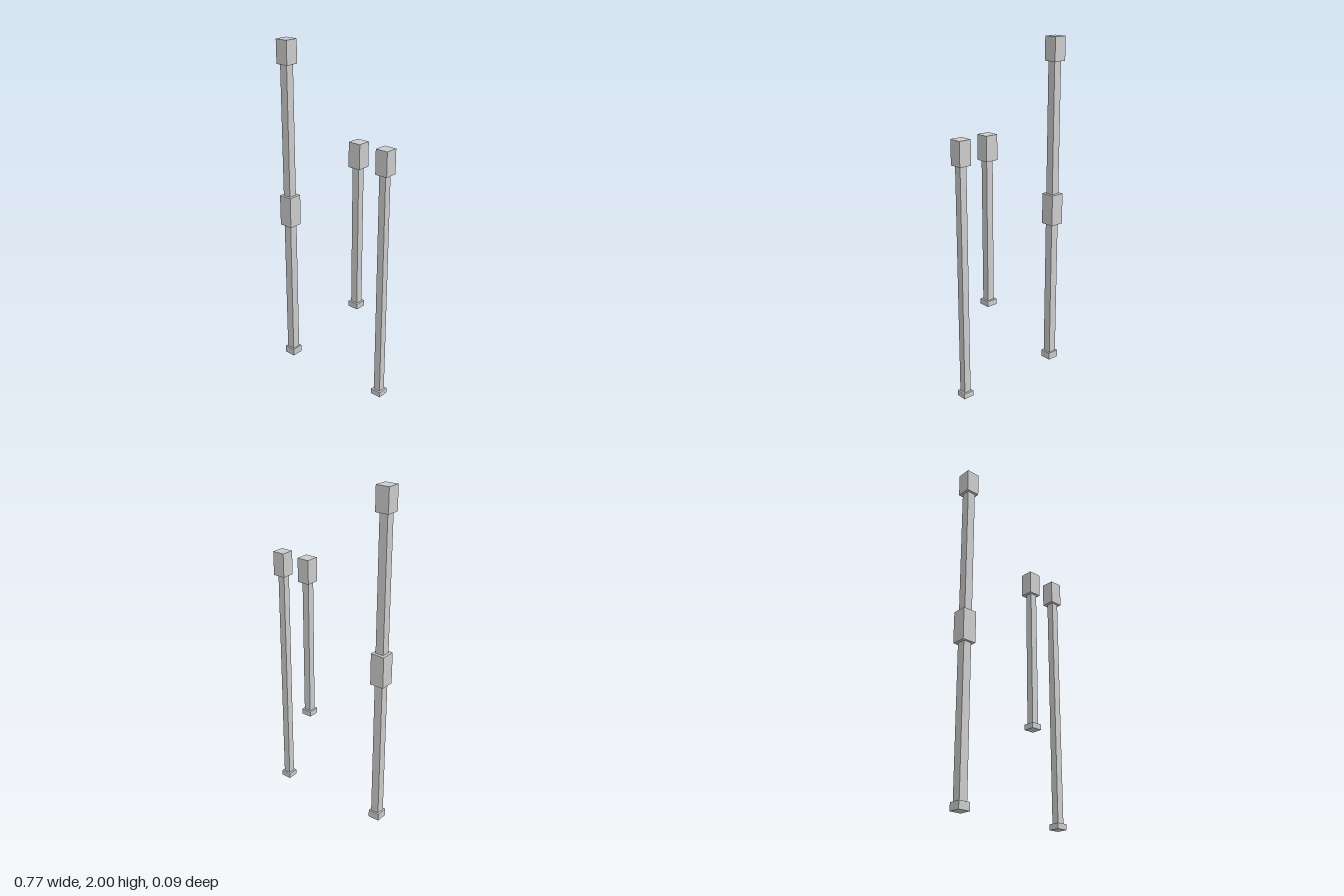
import * as THREE from 'three';

const material = new THREE.MeshStandardMaterial({ color: 0xcccccc, flatShading: true });

// Square block centred on (x, z), spanning y0 to y1
function addBlock(post, name, width, y0, y1, z) {
  const mesh = new THREE.Mesh(new THREE.BoxGeometry(width, y1 - y0, width), material);
  mesh.name = name;
  mesh.position.set(0, (y0 + y1) / 2, z);
  post.add(mesh);
}

function makePost(name, x, blocks) {
  const post = new THREE.Group();
  post.name = name;
  post.position.x = x;
  for (const block of blocks) addBlock(post, ...block);
  return post;
}

// Slim post with a foot, shaft and cap
function slimPost(name, x, bottom) {
  return makePost(name, x, [
    ['foot', 0.064, bottom, bottom + 0.032, -0.006],
    ['shaft', 0.042, bottom + 0.032, 1.38, -0.006],
    ['cap', 0.075, 1.38, 1.52, -0.009],
  ]);
}

export function createModel() {
  const model = new THREE.Group();
  model.name = 'posts';

  // Tall post: two shafts joined by a middle block
  model.add(makePost('tallPost', -0.344, [
    ['foot', 0.07, 0, 0.045, 0.003],
    ['lowerShaft', 0.05, 0.045, 0.9, 0.003],
    ['middleBlock', 0.084, 0.9, 1.087, 0.001],
    ['upperShaft', 0.05, 1.087, 1.863, 0.003],
    ['cap', 0.08, 1.863, 2, 0.001],
  ]));

  // Pair of slim posts with level caps
  model.add(slimPost('shortPost', 0.166, 0.53));
  model.add(slimPost('longPost', 0.347, 0.003));
  return model;
}
